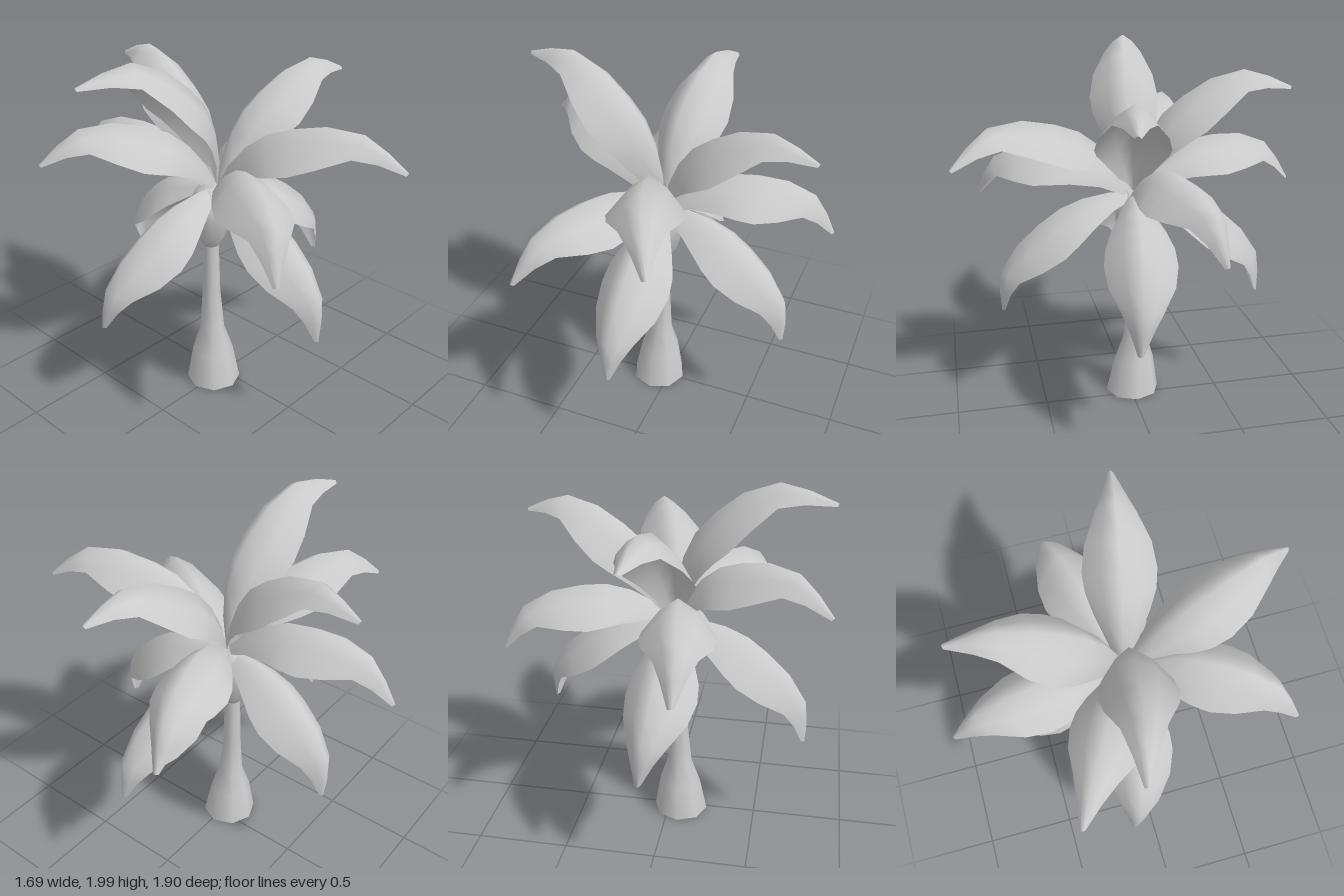
import * as THREE from 'three';

const material = new THREE.MeshStandardMaterial({ color: 0xcccccc, side: THREE.DoubleSide });
const CROWN = new THREE.Vector3(-0.035, 1.22, -0.015);

// Stations along a frond: distance along chord, bow height (0..1), half width
const STATIONS = [
  [0, 0, 0.03], [0.1, 0.4, 0.085], [0.23, 0.74, 0.145], [0.36, 0.94, 0.18],
  [0.5, 1, 0.19], [0.67, 0.98, 0.168], [0.84, 0.77, 0.105], [0.93, 0.4, 0.06], [1, 0, 0.015],
];
const ACROSS = [-1, -0.5, 0, 0.5, 1];

// Arched leaf from the crown to its tip, with edges folded down from the midrib
function frondGeometry(tip, bow, sway) {
  const along = tip.clone().sub(CROWN);
  const length = along.length();
  along.normalize();
  const side = along.clone().cross(new THREE.Vector3(0, 1, 0)).normalize();
  const up = side.clone().cross(along);
  const rib = STATIONS.map(([t, v]) => CROWN.clone().addScaledVector(along, t * length)
    .addScaledVector(up, v * bow * length).addScaledVector(side, v * sway));
  const positions = [], index = [], n = ACROSS.length;

  STATIONS.forEach(([, , width], i) => {
    const tangent = rib[Math.min(i + 1, rib.length - 1)].clone().sub(rib[Math.max(i - 1, 0)]).normalize();
    const normal = side.clone().cross(tangent);
    for (const s of ACROSS) {
      const p = rib[i].clone().addScaledVector(side, s * width)
        .addScaledVector(normal, -0.95 * width * Math.abs(s) ** 1.5);
      positions.push(p.x, p.y, p.z);
    }
    if (i === 0) return;
    for (let j = 0; j < n - 1; j++) {
      const a = (i - 1) * n + j, b = a + 1, c = a + n, d = c + 1;
      index.push(a, b, c, b, d, c);
    }
  });

  const geometry = new THREE.BufferGeometry();
  geometry.setAttribute('position', new THREE.Float32BufferAttribute(positions, 3));
  geometry.setIndex(index);
  geometry.computeVertexNormals();
  return geometry;
}

// Lathe whose axis leans gently from the foot towards the crown
function leaningLathe(profile) {
  const geometry = new THREE.LatheGeometry(profile.map(([r, y]) => new THREE.Vector2(r, y)), 8);
  const p = geometry.attributes.position;
  for (let i = 0; i < p.count; i++) {
    const k = Math.min(p.getY(i) / 0.6, 1);
    p.setX(i, p.getX(i) - 0.07 + 0.012 * k);
    p.setZ(i, p.getZ(i) - 0.015 - 0.025 * k);
  }
  return geometry;
}

export function createModel() {
  const tree = new THREE.Group();
  tree.name = 'palmTree';
  const add = (name, geometry, parent = tree) => {
    const mesh = new THREE.Mesh(geometry, material);
    mesh.name = name;
    parent.add(mesh);
  };

  // Trunk, open underneath, and the bulb that carries the fronds
  add('trunk', leaningLathe([[0.152, 0], [0.115, 0.2], [0.068, 0.34], [0.05, 0.58], [0.042, 0.9]]));
  add('crownBulb', leaningLathe([[0.045, 0.87], [0.085, 0.93], [0.12, 1.05], [0.12, 1.13], [0.08, 1.21], [0, 1.25]]));

  // Three tiers of four fronds: tip x, y, z, bow and sideways sway
  const tiers = {
    lowerFrond: [
      [-0.06, 0.58, 0.72, 0.23, -0.01], [0.04, 0.61, -0.72, 0.23, -0.03],
      [0.7, 0.61, 0.11, 0.23, -0.02], [-0.76, 0.61, -0.15, 0.22, -0.04],
    ],
    middleFrond: [
      [0.84, 1.1, -0.27, 0.295, 0], [-0.51, 1.13, 0.8, 0.295, -0.04],
      [-0.17, 1.21, -0.95, 0.295, -0.02], [-0.85, 1.47, -0.44, 0.29, -0.02],
    ],
    upperFrond: [
      [0.8, 1.73, 0.15, 0.265, 0.01], [0.27, 1.48, 0.95, 0.275, 0.05],
      [-0.83, 1.92, -0.13, 0.295, -0.03], [0.08, 1.78, -0.84, 0.28, -0.01],
    ],
  };
  for (const [name, fronds] of Object.entries(tiers)) {
    const tier = new THREE.Group();
    tier.name = name + 's';
    tree.add(tier);
    for (const [x, y, z, bow, sway] of fronds) {
      add(name, frondGeometry(new THREE.Vector3(x, y, z), bow, sway), tier);
    }
  }
  return tree;
}
